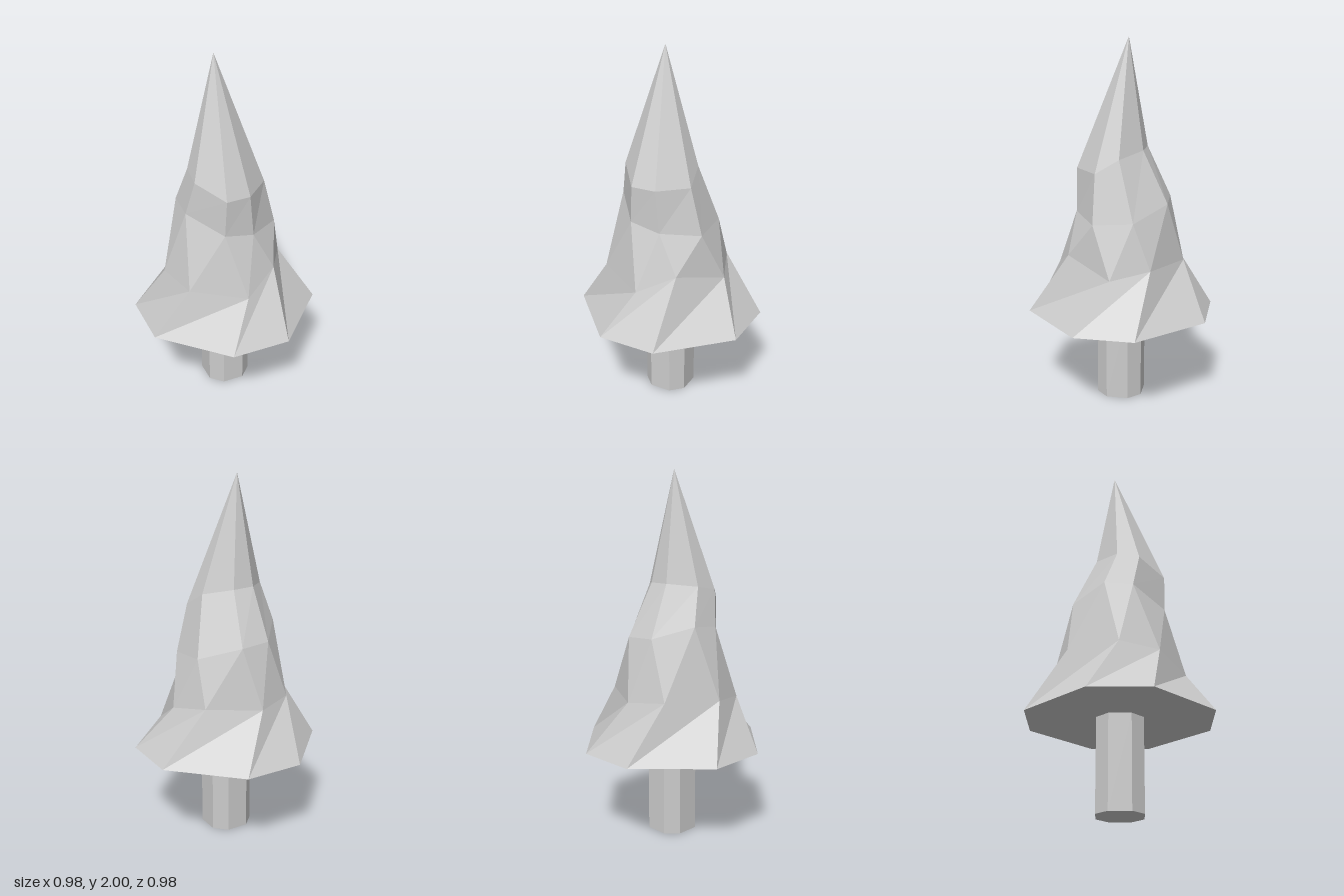
import * as THREE from 'three';

const SIDES = 8;

// Octagon with axis-aligned sides: clockwise seen from above, starting at back right (-x, -z)
function octagon(halfSide, reach, y) {
  const a = halfSide, r = reach;
  return [[-a, -r], [a, -r], [r, -a], [r, a], [a, r], [-a, r], [-r, a], [-r, -a]]
    .map(([x, z]) => [x, y, z]);
}

// Faceted skin over rings of points, closed by a fan at the bottom and at the top
function loft(rings, bottom, top) {
  const points = [...rings.flat(), bottom, top];
  const b = points.length - 2, t = points.length - 1;
  const last = (rings.length - 1) * SIDES;
  const faces = [];
  for (let i = 0; i < SIDES; i++) {
    const j = (i + 1) % SIDES;
    faces.push(b, i, j);
    for (let k = 0; k < last; k += SIDES) {
      const lo = k, up = k + SIDES;
      faces.push(lo + j, lo + i, up + i, lo + j, up + i, up + j);
    }
    faces.push(last + j, last + i, t);
  }
  const indexed = new THREE.BufferGeometry();
  indexed.setAttribute('position', new THREE.Float32BufferAttribute(points.flat(), 3));
  indexed.setIndex(faces);
  const geometry = indexed.toNonIndexed();
  geometry.computeVertexNormals();
  return geometry;
}

export function createModel() {
  const group = new THREE.Group();
  group.name = 'tree';
  const material = new THREE.MeshStandardMaterial({ color: 0xcccccc, flatShading: true });
  const add = (name, geometry) => {
    const mesh = new THREE.Mesh(geometry, material);
    mesh.name = name;
    group.add(mesh);
  };

  const skirtY = 0.507;

  // Trunk
  add('trunk', loft(
    [octagon(0.06, 0.124, 0), octagon(0.06, 0.124, skirtY)],
    [0, 0, 0], [0, skirtY, 0]
  ));

  // Crown: regular skirt, then three irregular twisted rings up to an off-centre tip
  const lower = [
    [-0.218, 0.82, -0.272], [-0.017, 0.8, -0.345], [0.25, 0.81, -0.203], [0.333, 0.77, 0],
    [0.175, 0.85, 0.258], [-0.018, 0.755, 0.353], [-0.295, 0.785, 0.203], [-0.358, 0.81, -0.005],
  ];
  const middle = [
    [-0.105, 1.14, -0.255], [0.06, 1.13, -0.263], [0.24, 1.06, -0.108], [0.247, 1.045, 0.107],
    [0.062, 1.07, 0.235], [-0.105, 1.105, 0.242], [-0.255, 1.185, 0.07], [-0.25, 1.2, -0.083],
  ];
  const upper = [
    [-0.088, 1.415, -0.13], [0.028, 1.41, -0.125], [0.157, 1.38, -0.018], [0.18, 1.305, 0.107],
    [0.04, 1.305, 0.235], [-0.096, 1.307, 0.245], [-0.215, 1.375, 0.105], [-0.207, 1.4, -0.015],
  ];
  add('crown', loft(
    [octagon(0.163, 0.489, skirtY), lower, middle, upper],
    [0, skirtY, 0], [-0.047, 2, -0.032]
  ));

  return group;
}
